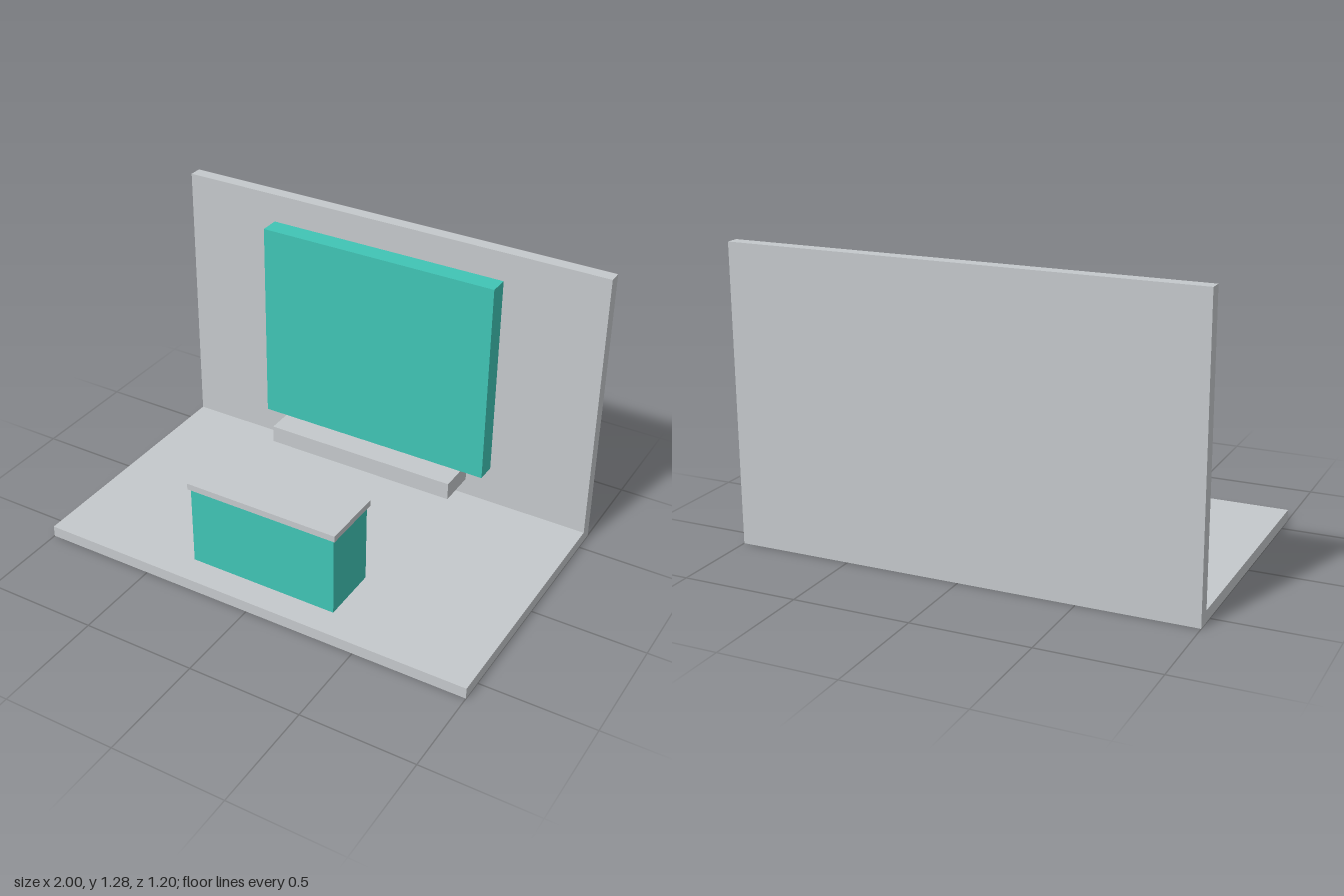
import * as THREE from 'three';

export function createModel() {
  const group = new THREE.Group();
  const grey = new THREE.MeshStandardMaterial({ name: 'light grey', color: 0xc4c8cb });
  const teal = new THREE.MeshStandardMaterial({ name: 'teal', color: 0x40c4b5 });

  const add = (name, geometry, material) => {
    const mesh = new THREE.Mesh(geometry, material);
    mesh.name = name;
    group.add(mesh);
  };

  // Box centred on x, given by its width and its y and z limits
  const slab = (name, width, [y0, y1], [z0, z1], material) => {
    const geometry = new THREE.BoxGeometry(width, y1 - y0, z1 - z0);
    geometry.translate(0, (y0 + y1) / 2, (z0 + z1) / 2);
    add(name, geometry, material);
  };

  // Floor and back wall: one L-shaped section (z, y) extruded along x
  const section = new THREE.Shape([
    [-0.6, 0], [0.6, 0], [0.6, 0.05], [-0.543, 0.05], [-0.543, 1.28], [-0.6, 1.28],
  ].map(([z, y]) => new THREE.Vector2(z, y)));
  const shell = new THREE.ExtrudeGeometry(section, { depth: 2, bevelEnabled: false });
  shell.translate(0, 0, -1).rotateY(-Math.PI / 2);
  add('floorAndBackWall', shell, grey);

  // Display panel standing on a ledge in front of the wall
  slab('displayPanel', 1.1, [0.242, 1.163], [-0.523, -0.435], teal);
  slab('ledge', 0.894, [0.163, 0.242], [-0.498, -0.319], grey);

  // Counter with overhanging top
  slab('counterBody', 0.68, [0.05, 0.415], [0.21, 0.475], teal);
  slab('counterTop', 0.7, [0.415, 0.443], [0.198, 0.485], grey);

  return group;
}
